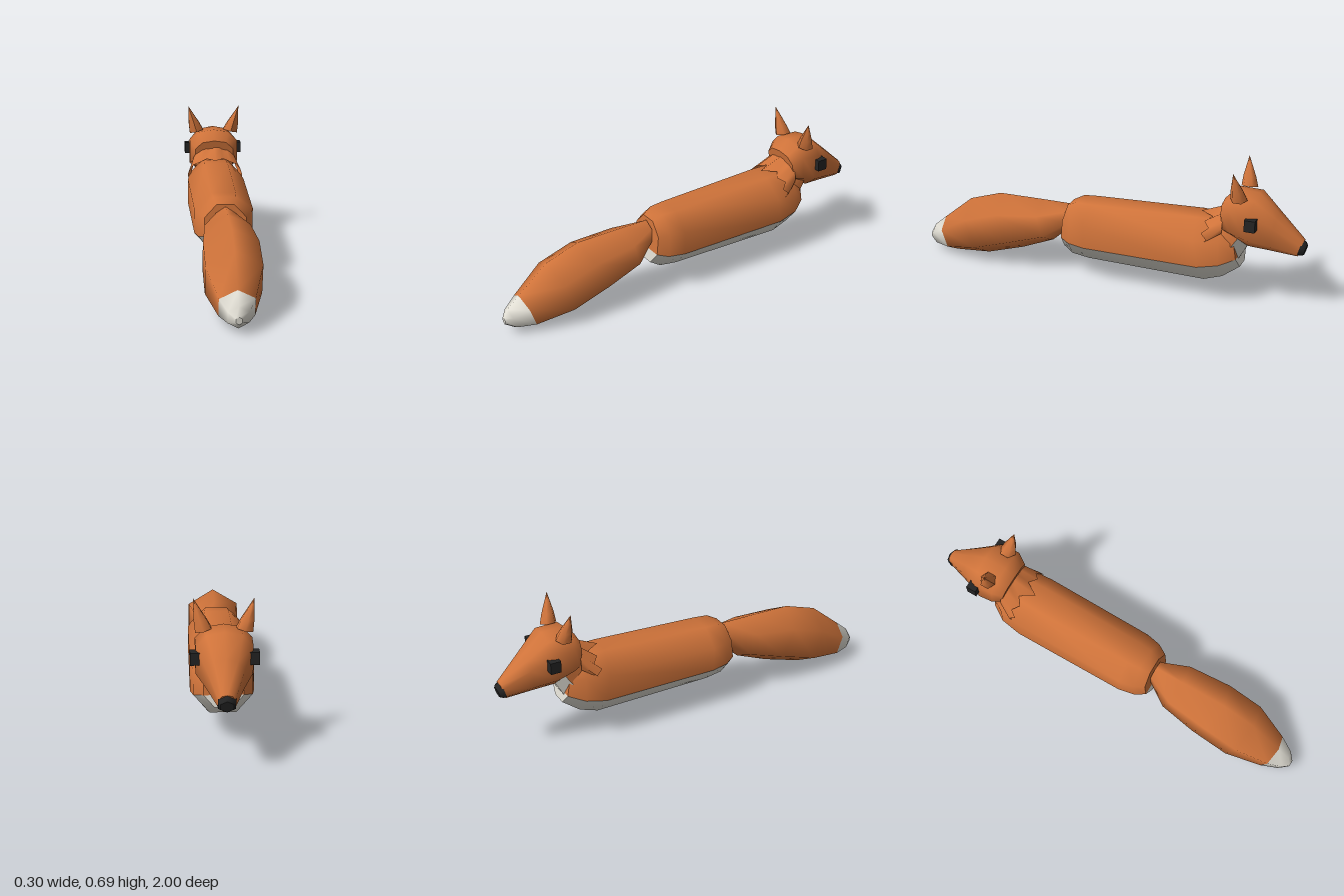
import * as THREE from 'three';

const mat = (color, side = THREE.FrontSide) => new THREE.MeshStandardMaterial({ color, side });
const orange = mat(0xcf733a);
const orangeThin = mat(0xcf733a, THREE.DoubleSide);
const cream = mat(0xe2dfd5);
const black = mat(0x242424);

// Half profiles: [fraction of half width, fraction from bottom to top]
const HEX = [[0, 0], [1, 0.25], [1, 0.75], [0, 1]];
const HEAD = [[0.45, 0], [1, 0.22], [1, 0.72], [0.63, 0.94], [0, 1]];
const BACK = [[1, 0.3], [1, 0.72], [0.42, 1]];
const BELLY = [[0.45, 0], [1, 0.3]];

const mirrored = (half) => half.filter((p) => p[0] > 0).reverse().map(([x, s]) => [-x, s]);
const closedProfile = (half) => [...half, ...mirrored(half)];
const bellyProfile = (half) => [...mirrored(half), ...half];

// Skin through rings [topZ, topY, bottomZ, bottomY, halfWidth], running towards -z
function loft(rings, profile, { closed = true, capStart = true, capEnd = true } = {}) {
  const n = profile.length, pos = [], idx = [];
  const points = rings.map(([tz, ty, bz, by, w]) => profile.map(([x, s]) =>
    [x * w, by + (ty - by) * s, bz + (tz - bz) * s]));
  points.forEach((ring) => ring.forEach((p) => pos.push(...p)));
  for (let i = 0; i < rings.length - 1; i++) {
    for (let j = 0; j < (closed ? n : n - 1); j++) {
      const k = (j + 1) % n;
      const a = i * n + j, b = i * n + k, c = a + n, d = b + n;
      idx.push(a, c, b, b, c, d);
    }
  }
  const cap = (ring, flip) => {
    const base = pos.length / 3;
    ring.forEach((p) => pos.push(...p));
    for (let j = 1; j < n - 1; j++) {
      if (flip) idx.push(base, base + j + 1, base + j);
      else idx.push(base, base + j, base + j + 1);
    }
  };
  if (capStart) cap(points[0], false);
  if (capEnd) cap(points[points.length - 1], true);
  return surface(pos, idx);
}

function surface(pos, idx) {
  const g = new THREE.BufferGeometry();
  g.setAttribute('position', new THREE.Float32BufferAttribute(pos, 3));
  g.setIndex(idx);
  g.computeVertexNormals();
  return g;
}

// Serrated fur collar draped over the shoulders
function ruffGeometry() {
  const pos = [], idx = [], steps = 12;
  for (let i = 0; i <= steps; i++) {
    const a = (i / steps - 0.5) * Math.PI * 1.15;
    const s = Math.sin(a), c = Math.cos(a);
    const tooth = i === steps / 2 ? 0.12 : i % 2 ? 0.05 : 0.08;
    pos.push(0.115 * s, 0.4 + 0.085 * c, -0.615);
    pos.push(0.145 * s, 0.34 + 0.092 * c, -0.6 + tooth);
    if (i < steps) idx.push(2 * i, 2 * i + 1, 2 * i + 2, 2 * i + 1, 2 * i + 3, 2 * i + 2);
  }
  return surface(pos, idx);
}

// Six-sided cone whose tip leans outwards and back
function earGeometry(side) {
  const g = new THREE.ConeGeometry(0.041, 0.137, 6, 3);
  g.translate(0, 0.0685, 0);
  const p = g.attributes.position;
  for (let i = 0; i < p.count; i++) {
    const t = p.getY(i) / 0.137;
    const bulge = 1 + 0.6 * t * (1 - t);
    const x = p.getX(i) * bulge, z = p.getZ(i) * bulge;
    const tilt = (1 - t) * -0.25 * x;
    p.setXYZ(i, side * 0.091 + x + side * 0.043 * t, 0.555 + p.getY(i) + side * tilt, -0.686 + z + 0.02 * t);
  }
  g.computeVertexNormals();
  return g;
}

export function createModel() {
  const model = new THREE.Group();
  const add = (name, geometry, material) => {
    const mesh = new THREE.Mesh(geometry, material);
    mesh.name = name;
    model.add(mesh);
    return mesh;
  };
  const open = { closed: false };

  // Body: orange back over a pale belly
  const body = [
    [0.2, 0.37, 0.22, 0.15, 0.1],
    [0.15, 0.395, 0.17, 0.122, 0.128],
    [0.08, 0.398, 0.08, 0.113, 0.143],
    [-0.47, 0.42, -0.52, 0.106, 0.147],
    [-0.6, 0.42, -0.61, 0.135, 0.135],
    [-0.66, 0.375, -0.69, 0.19, 0.09],
  ];
  add('back', loft(body, closedProfile(BACK), open), orange);
  add('belly', loft(body, bellyProfile(BELLY), open), cream);

  // Neck with pale throat
  const neck = [
    [-0.52, 0.38, -0.67, 0.21, 0.105],
    [-0.6, 0.46, -0.73, 0.32, 0.095],
  ];
  const tube = { closed: false, capStart: false, capEnd: false };
  add('neck', loft(neck, closedProfile(BACK), tube), orangeThin);
  add('throat', loft(neck, bellyProfile(BELLY), tube), cream);
  add('ruff', ruffGeometry(), orangeThin);

  // Head tapering into the snout
  add('head', loft([
    [-0.595, 0.515, -0.62, 0.36, 0.1],
    [-0.645, 0.567, -0.66, 0.345, 0.127],
    [-0.76, 0.565, -0.73, 0.312, 0.126],
    [-0.86, 0.475, -0.83, 0.298, 0.083],
    [-0.985, 0.36, -0.96, 0.28, 0.036],
  ], closedProfile(HEAD)), orange);
  add('nose', loft([
    [-0.98, 0.362, -0.955, 0.279, 0.039],
    [-0.992, 0.355, -0.97, 0.278, 0.038],
    [-1.0, 0.338, -0.986, 0.285, 0.028],
  ], closedProfile(HEX)), black);

  for (const side of [1, -1]) {
    const label = side > 0 ? 'left' : 'right';
    add(label + 'Ear', earGeometry(side), orange);
    add(label + 'Eye', new THREE.BoxGeometry(0.045, 0.057, 0.052), black)
      .position.set(side * 0.129, 0.451, -0.757);
  }

  // Tail: pale tip, then the orange brush
  const tip = [0.915, 0.178, 0.855, 0.003, 0.08];
  add('tailTip', loft([
    [0.999, 0.085, 0.996, 0.05, 0.014],
    [0.978, 0.125, 0.945, 0.016, 0.046],
    tip,
  ], closedProfile(HEX), { capEnd: false }), cream);
  add('tail', loft([
    tip,
    [0.76, 0.305, 0.67, 0.018, 0.128],
    [0.59, 0.36, 0.47, 0.08, 0.128],
    [0.36, 0.362, 0.3, 0.15, 0.108],
    [0.21, 0.362, 0.2, 0.24, 0.045],
  ], closedProfile(HEX), { capStart: false }), orange);

  return model;
}
